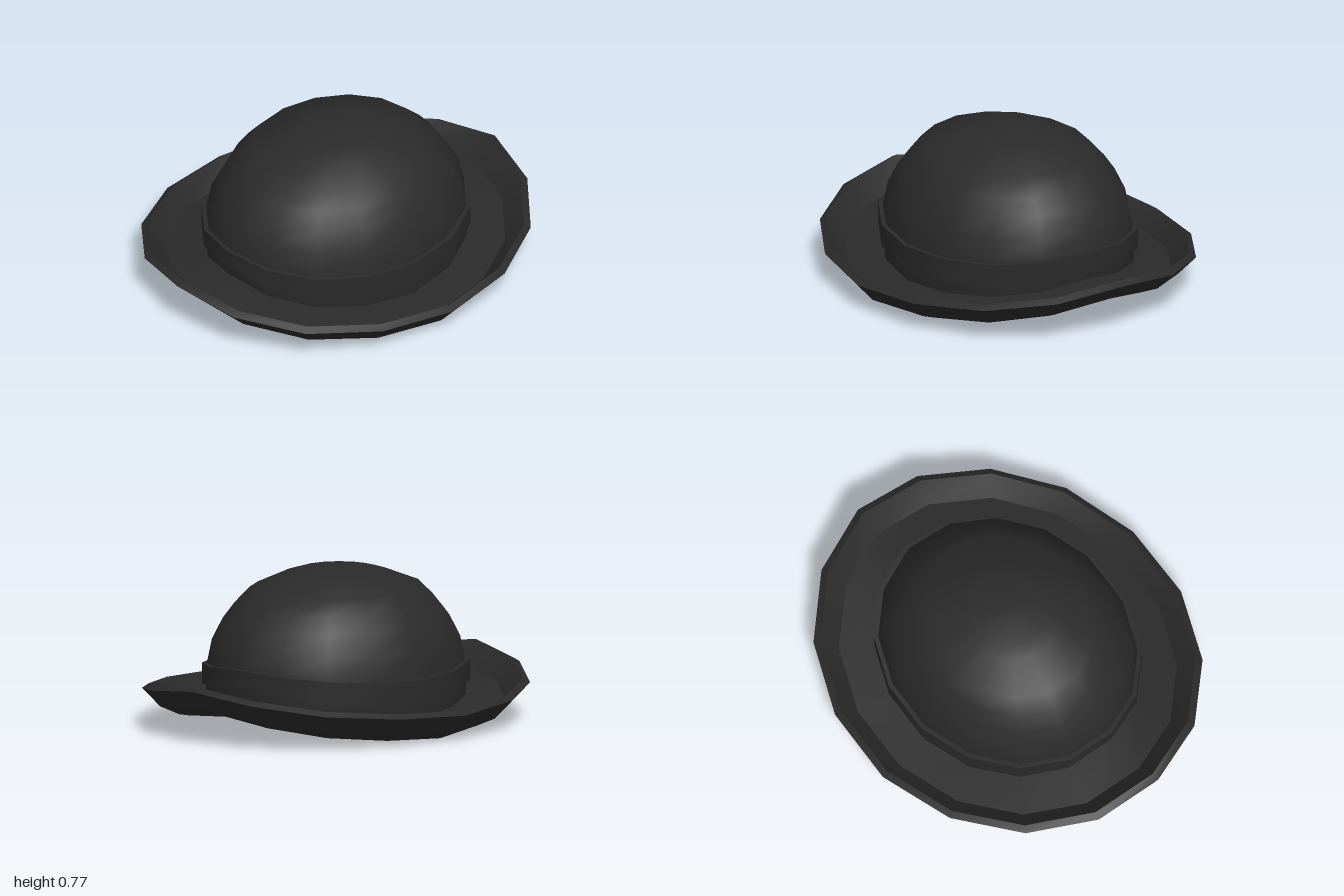
import * as THREE from 'three';
import { toCreasedNormals } from 'three/addons/utils/BufferGeometryUtils.js';

const SIDES = 16;
// Upward sweep of the hat from its front and back (1) to its sides (0), per 22.5 degrees
const SWEEP = [1, 0.68, 0.35, 0.14, 0];

function sweepAt(i) {
  const k = i % 8;
  return SWEEP[k <= 4 ? k : 8 - k];
}

// Skins elliptical rings [halfWidth, halfDepth, height at sides, height at front and back]
function loft(rings) {
  const pos = [], index = [];
  rings.forEach(([rx, rz, ySide, yFront]) => {
    for (let i = 0; i < SIDES; i++) {
      const a = (i / SIDES) * Math.PI * 2;
      pos.push(rx * Math.sin(a), ySide + (yFront - ySide) * sweepAt(i), rz * Math.cos(a));
    }
  });
  for (let j = 0; j < rings.length - 1; j++) {
    for (let i = 0; i < SIDES; i++) {
      const n = (i + 1) % SIDES;
      const a = j * SIDES + i, b = j * SIDES + n;
      const c = b + SIDES, d = a + SIDES;
      index.push(a, b, c, a, c, d);
    }
  }
  const g = new THREE.BufferGeometry();
  g.setAttribute('position', new THREE.Float32BufferAttribute(pos, 3));
  g.setIndex(index);
  g.computeVertexNormals();
  return g;
}

export function createModel() {
  const felt = new THREE.MeshStandardMaterial({ color: 0x2a2a2a, side: THREE.DoubleSide });
  felt.name = 'charcoal felt';
  const hat = new THREE.Group();
  hat.name = 'hat';

  const add = (name, geometry) => {
    const mesh = new THREE.Mesh(geometry, felt);
    mesh.name = name;
    hat.add(mesh);
  };

  // Domed crown, open underneath and reaching down to the edge of the opening
  add('crown', loft([
    [0.56, 0.645, 0.0, 0.104],
    [0.58, 0.67, 0.09, 0.19],
    [0.582, 0.672, 0.18, 0.26],
    [0.576, 0.666, 0.28, 0.335],
    [0.556, 0.641, 0.4, 0.43],
    [0.505, 0.588, 0.51, 0.52],
    [0.455, 0.525, 0.585, 0.592],
    [0.39, 0.445, 0.66, 0.665],
    [0.235, 0.265, 0.732, 0.732],
    [0.17, 0.19, 0.751, 0.751],
    [0.07, 0.065, 0.765, 0.765],
    [0, 0, 0.766, 0.766],
  ]));

  // Brim: underside outwards, turned-up rim, then the top side inwards
  add('brim', toCreasedNormals(loft([
    [0.56, 0.645, 0.0, 0.104],
    [0.70, 0.81, 0.0, 0.13],
    [0.785, 0.908, 0.036, 0.176],
    [0.87, 1.0, 0.13, 0.265],
    [0.84, 0.965, 0.152, 0.285],
    [0.755, 0.87, 0.065, 0.175],
    [0.581, 0.671, 0.09, 0.19],
  ]), 0.45));

  // Band around the foot of the crown
  add('hatBand', toCreasedNormals(loft([
    [0.584, 0.674, 0.165, 0.25],
    [0.6, 0.69, 0.165, 0.25],
    [0.6, 0.69, 0.275, 0.335],
    [0.578, 0.668, 0.275, 0.335],
  ]), 0.53));

  return hat;
}
